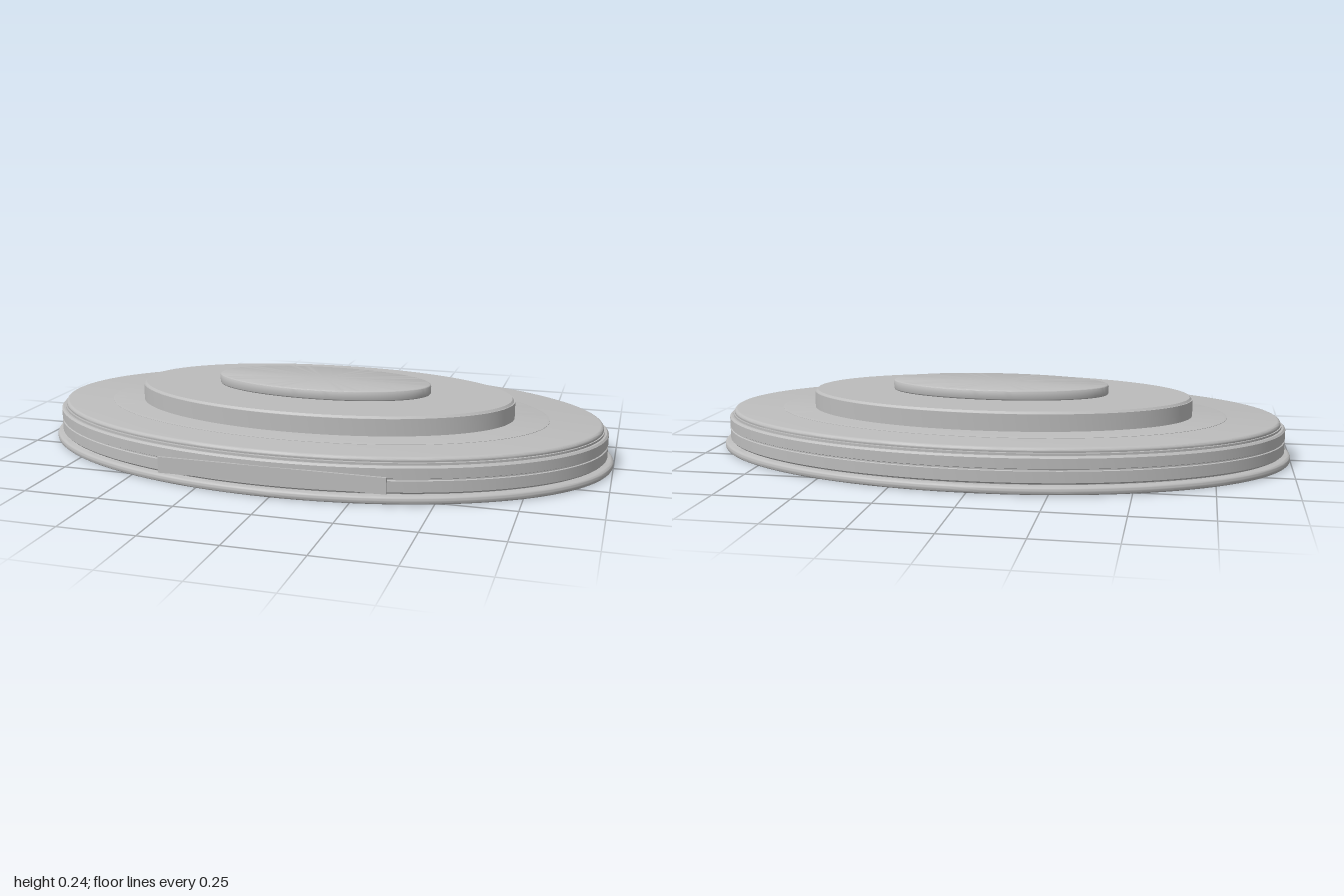
import * as THREE from 'three';
import { toCreasedNormals } from 'three/addons/utils/BufferGeometryUtils.js';

const stone = new THREE.MeshStandardMaterial({ color: 0xbcbcbc });
stone.name = 'plain grey';

// Closed oval disc from [inset, y] edge points, with an even inset all round.
function ovalTier(name, rx, rz, edge) {
  const points = [
    new THREE.Vector2(0, edge[0][1]),
    ...edge.map(([inset, y]) => new THREE.Vector2(rx - inset, y)),
    new THREE.Vector2(0, edge[edge.length - 1][1]),
  ];
  const geometry = new THREE.LatheGeometry(points, 128);
  const pos = geometry.attributes.position;
  for (let i = 0; i < pos.count; i++) {
    const r = Math.hypot(pos.getX(i), pos.getZ(i));
    if (r > 1e-6) pos.setZ(i, pos.getZ(i) * (rz - rx + r) / r);
  }
  const mesh = new THREE.Mesh(toCreasedNormals(geometry, 0.6), stone);
  mesh.name = name;
  return mesh;
}

// Edge running from y0 to y1 with rounded lower and upper corners.
function roundedEdge(y0, y1, low, high, steps = 5) {
  const edge = [];
  for (let i = 0; i <= steps; i++) {
    const a = (i / steps) * Math.PI / 2;
    edge.push([low * (1 - Math.sin(a)), y0 + low * (1 - Math.cos(a))]);
  }
  for (let i = 0; i <= steps; i++) {
    const a = (i / steps) * Math.PI / 2;
    edge.push([high * (1 - Math.cos(a)), y1 - high * (1 - Math.sin(a))]);
  }
  return edge;
}

export function createModel() {
  const model = new THREE.Group();
  model.name = 'ovalPlinth';

  // Foot and recessed neck
  model.add(ovalTier('foot', 1, 0.6, roundedEdge(0, 0.027, 0.01, 0.012)));
  model.add(ovalTier('neck', 0.966, 0.576, [[0, 0.02], [0, 0.125]]));

  // Body with a fine groove around its middle
  model.add(ovalTier('body', 0.979, 0.588, [
    [0.005, 0.031], [0, 0.036], [0, 0.072], [0.004, 0.074],
    [0.004, 0.078], [0, 0.08], [0, 0.112], [0.006, 0.118],
  ]));

  // Stacked tiers
  model.add(ovalTier('topSlab', 0.962, 0.566, roundedEdge(0.119, 0.14, 0.005, 0.011)));
  model.add(ovalTier('lowStep', 0.785, 0.44, [[0, 0.13], [0, 0.141], [0.01, 0.143]]));
  model.add(ovalTier('middleTier', 0.668, 0.36, [[0, 0.135], [0, 0.2], [0.004, 0.2], [0.01, 0.207]]));
  model.add(ovalTier('upperTier', 0.381, 0.173, roundedEdge(0.206, 0.242, 0.008, 0.008)));

  // Blank flat plaque on the front
  const plaque = new THREE.Mesh(new THREE.BoxGeometry(0.736, 0.052, 0.008), stone);
  plaque.name = 'plaque';
  plaque.position.set(0, 0.071, 0.588);
  model.add(plaque);

  return model;
}
